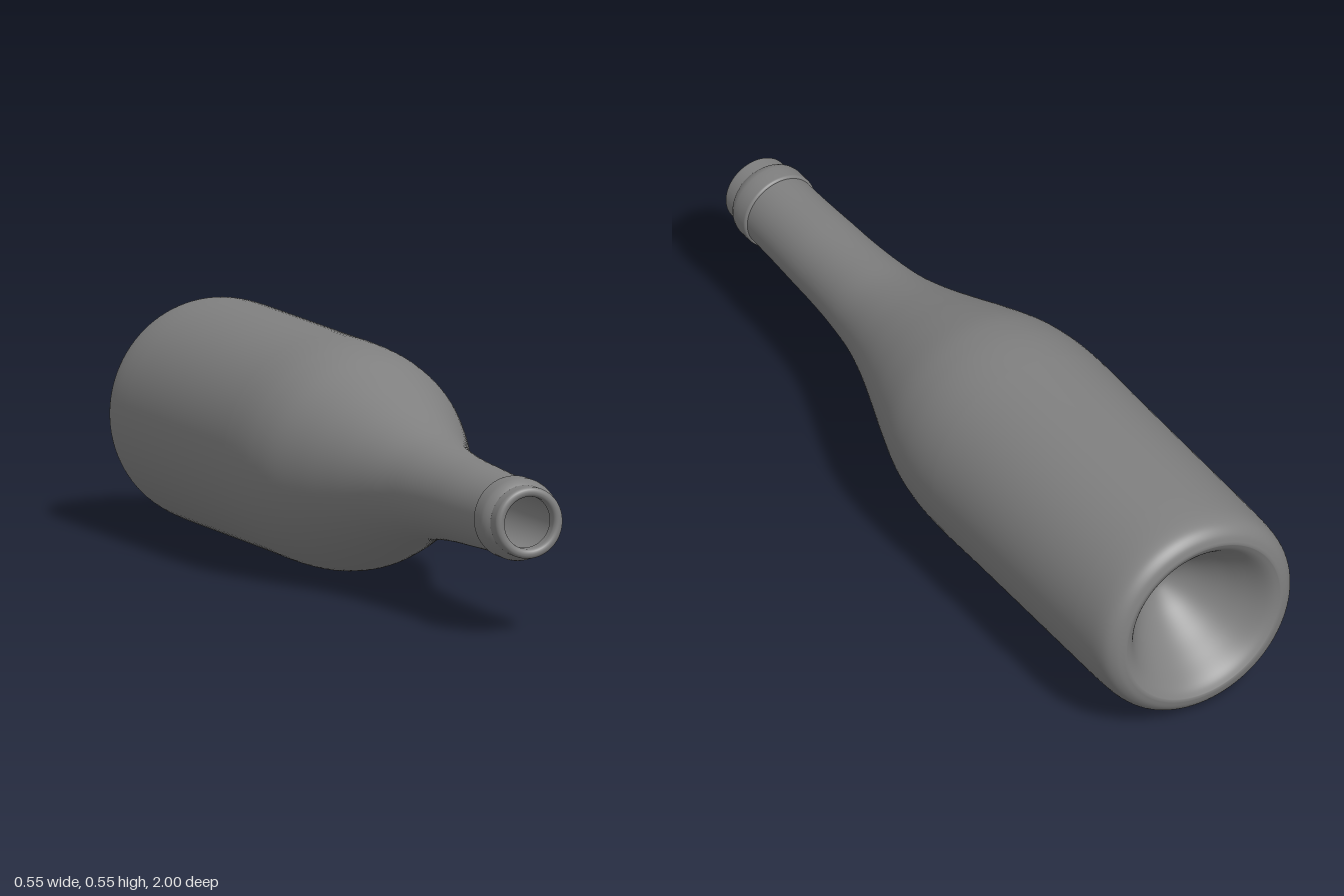
import * as THREE from 'three';

const SEGMENTS = 96;
const AXIS_HEIGHT = 0.277;
const QUARTER = Math.PI / 2;

const material = new THREE.MeshStandardMaterial({ color: 0x808080, side: THREE.DoubleSide });
const toPoints = (list) => list.map(([r, z]) => new THREE.Vector2(r, z));

// Smooth profile through [radius, z] control points
function smooth(list, divisions) {
  return new THREE.SplineCurve(toPoints(list)).getPoints(divisions)
    .map((p) => new THREE.Vector2(Math.max(p.x, 0), p.y));
}

// Rounded corner of a profile between two angles
function arc(r, z, radius, from, to, steps) {
  return Array.from({ length: steps + 1 }, (_, i) => {
    const a = THREE.MathUtils.lerp(from, to, i / steps);
    return new THREE.Vector2(r + radius * Math.cos(a), z + radius * Math.sin(a));
  });
}

function lathe(name, points) {
  const mesh = new THREE.Mesh(new THREE.LatheGeometry(points, SEGMENTS), material);
  mesh.name = name;
  return mesh;
}

export function createModel() {
  const bottle = new THREE.Group();
  bottle.name = 'bottle';

  // Outer glass in one sweep: dished base, rounded heel, body, shoulder and neck
  bottle.add(lathe('outerWall', [
    ...smooth([
      [0, -0.79], [0.03, -0.797], [0.075, -0.83], [0.12, -0.883],
      [0.155, -0.932], [0.183, -0.972], [0.2, -0.99], [0.217, -1],
    ], 40),
    ...smooth([
      [0.222, -1], [0.242, -0.993], [0.259, -0.976], [0.268, -0.95],
      [0.272, -0.91], [0.2735, -0.85],
    ], 24),
    ...toPoints([[0.274, -0.7], [0.2745, -0.5], [0.275, -0.35]]),
    ...smooth([
      [0.2765, -0.23], [0.275, -0.15], [0.269, -0.08], [0.254, 0], [0.222, 0.1],
      [0.186, 0.2], [0.152, 0.3], [0.126, 0.4], [0.112, 0.5],
      [0.104, 0.6], [0.1, 0.7], [0.096, 0.8], [0.094, 0.89],
    ], 72),
  ]));

  // Raised collar with a sloping front
  bottle.add(lathe('collar', [
    new THREE.Vector2(0.092, 0.884),
    ...arc(0.092, 0.892, 0.008, -QUARTER, 0, 5),
    ...toPoints([[0.1, 0.915], [0.1, 0.932], [0.098, 0.942], [0.093, 0.952], [0.0865, 0.96]]),
  ]));

  // Rounded lip, undercut by a ledge inside the mouth
  bottle.add(lathe('lip', [
    new THREE.Vector2(0.0865, 0.956),
    ...arc(0.0755, 0.989, 0.011, 0, QUARTER, 6),
    ...arc(0.074, 0.989, 0.011, QUARTER, Math.PI, 6),
    new THREE.Vector2(0.063, 0.968),
  ]));
  bottle.add(lathe('mouthLedge', toPoints([[0.063, 0.968], [0.07, 0.964]])));

  // Inner wall, running down to the raised floor
  bottle.add(lathe('innerWall', smooth([
    [0.07, 0.964], [0.071, 0.85], [0.074, 0.75], [0.08, 0.6], [0.09, 0.5], [0.104, 0.4],
    [0.13, 0.3], [0.163, 0.2], [0.199, 0.1], [0.231, 0], [0.251, -0.15],
    [0.254, -0.4], [0.254, -0.7], [0.25, -0.9], [0.235, -0.955], [0.213, -0.968],
    [0.185, -0.935], [0.15, -0.88], [0.1, -0.81], [0.045, -0.765], [0, -0.755],
  ], 80)));

  // Lay the bottle on its side with the mouth to the front
  bottle.rotation.x = QUARTER;
  bottle.position.y = AXIS_HEIGHT;
  const model = new THREE.Group();
  model.name = 'lyingBottle';
  model.add(bottle);
  return model;
}
